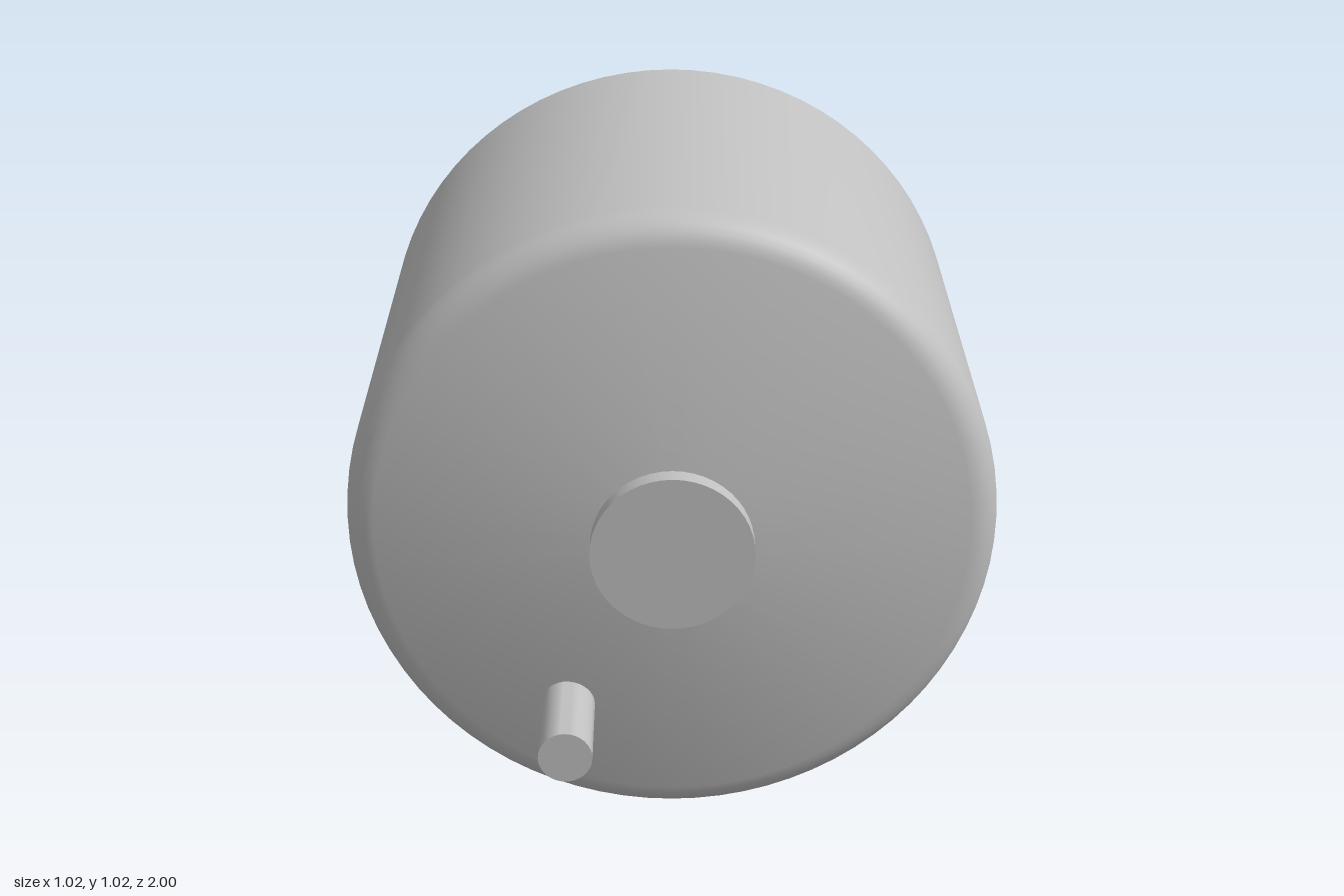
import * as THREE from 'three';
import { toCreasedNormals } from 'three/addons/utils/BufferGeometryUtils.js';

const AXIS_Y = 0.513;

export function createModel() {
  const group = new THREE.Group();
  const grey = new THREE.MeshStandardMaterial({ color: 0xc0c0c0 });
  grey.name = 'light grey';

  function add(name, geo, x = 0, y = 0, crease = 0.5) {
    const mesh = new THREE.Mesh(toCreasedNormals(geo, crease), grey);
    mesh.name = name;
    mesh.position.set(x, AXIS_Y + y, 0);
    group.add(mesh);
  }

  // Turned part along z: profile of [radius, z], from back to front
  function turned(name, profile, segments = 64, x = 0, y = 0) {
    const pts = profile.map(([r, z]) => new THREE.Vector2(r, z));
    add(name, new THREE.LatheGeometry(pts, segments).rotateX(Math.PI / 2), x, y);
  }

  // Rounded corner of a profile, from angle a0 to a1
  function corner(r, z, radius, a0, a1, steps = 6) {
    return Array.from({ length: steps + 1 }, (_, i) => {
      const a = a0 + ((a1 - a0) * i) / steps;
      return [r + radius * Math.cos(a), z + radius * Math.sin(a)];
    });
  }

  // Main housing with rear chamfer, rounded front rim and shallow front cone
  turned('housing', [
    [0, -0.04], [0.476, -0.04], [0.512, 0],
    ...corner(0.457, 0.757, 0.055, 0, 1.4),
    [0.12, 0.87], [0, 0.87],
  ], 80);
  turned('frontHub', [[0, 0.85], [0.127, 0.85], [0.127, 0.9], [0, 0.9]], 48);
  turned('frontPin', [[0, 0.78], [0.042, 0.78], [0.042, 1], [0, 1]], 32, -0.165, -0.296);

  // Collar with two opposite round grooves
  const R = 0.425, grooveR = 0.043, delta = 0.102;
  const shape = new THREE.Shape();
  for (const phi of [-0.49, Math.PI - 0.49]) {
    shape.absarc(0.42 * Math.cos(phi), 0.42 * Math.sin(phi), grooveR,
      phi - Math.PI / 2, phi - 1.5 * Math.PI, true);
    shape.absarc(0, 0, R, phi + delta, phi + Math.PI - delta, false);
  }
  const collar = new THREE.ExtrudeGeometry(shape, { depth: 0.24, bevelEnabled: false, curveSegments: 32 });
  add('collar', collar.translate(0, 0, -0.272));

  add('threadedNeck', threadGeometry(), 0, 0, 0.6);

  // Rounded nose behind the thread
  turned('nose', [
    [0, -0.73], ...corner(0.213, -0.66, 0.07, -Math.PI / 2, 0, 8), [0.283, -0.5], [0, -0.5],
  ]);
  turned('noseDisc', [[0, -0.755], [0.19, -0.755], [0.19, -0.7], [0, -0.7]], 48);

  // Stem ending in a flange with a bore
  turned('stem', [[0.06, -0.96], [0.093, -0.96], [0.093, -0.74], [0, -0.74]], 40);
  turned('stemFlange', [
    [0, -0.86], [0.036, -0.86], [0.036, -1], [0.152, -1], [0.152, -0.945], [0.05, -0.945],
  ], 48);
  return group;
}

// Helical ridge cut off flat at both ends
function threadGeometry() {
  const pitch = 0.11, z0 = -0.555, z1 = -0.265, segs = 72;
  const offsets = [];
  for (let n = -4; n <= 3; n++) {
    for (const d of [-0.045, -0.012, 0.012, 0.045]) offsets.push(n * pitch + d);
  }
  const rows = offsets.length + 2;
  const pos = [], index = [];
  for (let i = 0; i <= segs; i++) {
    const a = (i / segs) * Math.PI * 2;
    const crest = -0.33 + pitch * (a / (Math.PI * 2) - 0.25);
    for (let j = 0; j < rows; j++) {
      const cap = j === 0 || j === rows - 1;
      const offset = offsets[THREE.MathUtils.clamp(j - 1, 0, offsets.length - 1)];
      const z = THREE.MathUtils.clamp(crest + offset, z0, z1);
      const turns = (z - crest) / pitch;
      const d = Math.abs(turns - Math.round(turns)) * pitch;
      const ridge = THREE.MathUtils.clamp((0.045 - d) / 0.033, 0, 1);
      const r = cap ? 0.2 : 0.285 + 0.05 * ridge;
      pos.push(r * Math.cos(a), r * Math.sin(a), z);
      if (i < segs && j < rows - 1) {
        const p = i * rows + j, q = p + rows;
        index.push(p, q, q + 1, p, q + 1, p + 1);
      }
    }
  }
  const geo = new THREE.BufferGeometry();
  geo.setAttribute('position', new THREE.Float32BufferAttribute(pos, 3));
  geo.setIndex(index);
  return geo;
}
